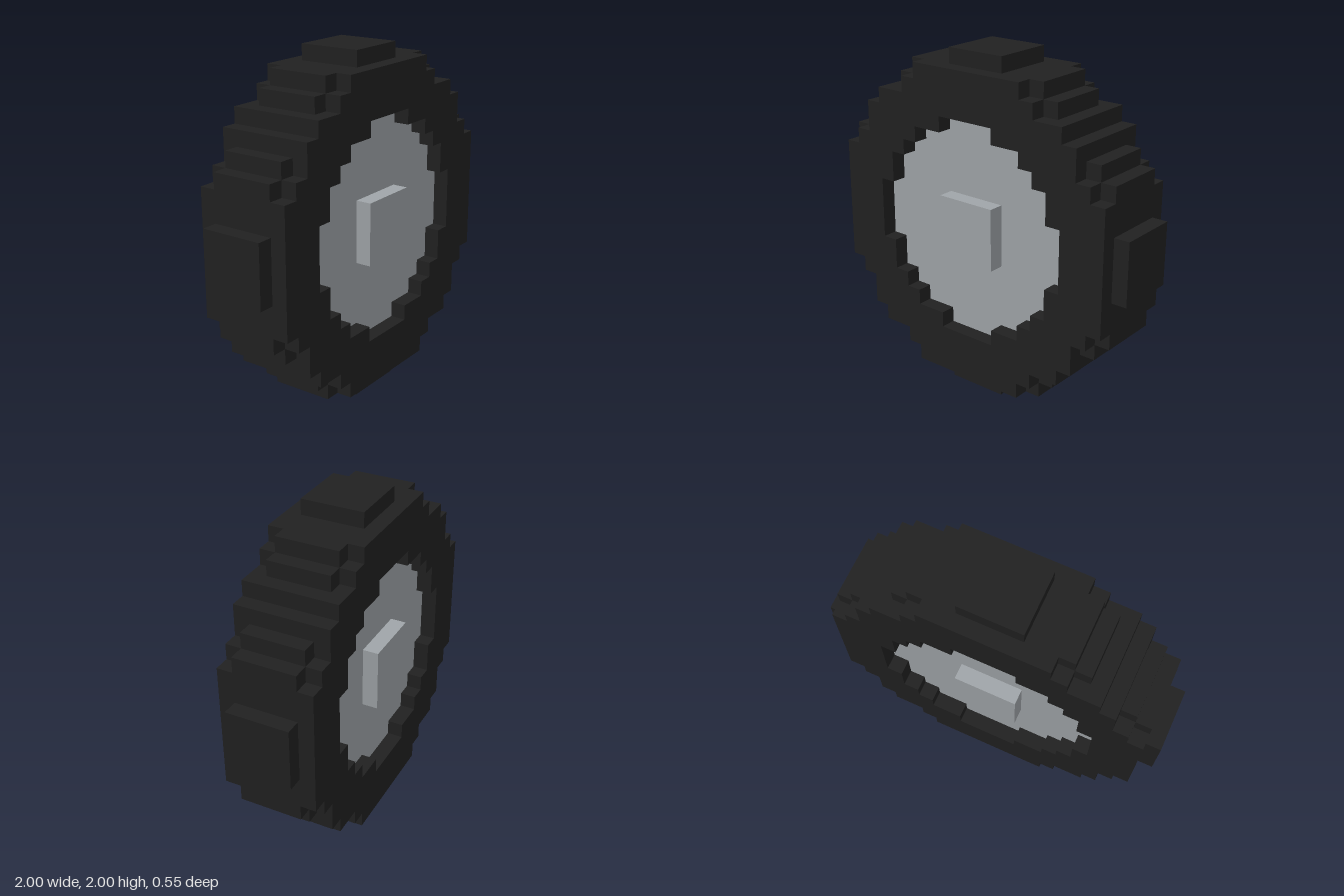
import * as THREE from 'three';

const U = 1 / 11; // one block of the stepped grid

const tyreMat = new THREE.MeshStandardMaterial({ color: 0x212121 });
tyreMat.name = 'black rubber';
const hubMat = new THREE.MeshStandardMaterial({ color: 0xa0a5a9 });
hubMat.name = 'light grey';

// Stepped corners of one quadrant, in blocks
const TYRE_STEPS = [[10, 4], [9, 4], [9, 5], [8, 5], [8, 7], [7, 7], [7, 8], [5, 8], [5, 9], [4, 9], [4, 10]];
const HUB_STEPS = [[7, 2], [6, 2], [6, 4], [5, 4], [5, 5], [4, 5], [4, 6], [2, 6], [2, 7]];

// Quarter turn about the axle
function turn([x, y], times) {
  for (let i = 0; i < times; i++) [x, y] = [-y, x];
  return [x, y];
}

// Closed outline from four turned quadrants
function outline(steps) {
  const points = [];
  for (let q = 0; q < 4; q++) {
    for (const p of steps) {
      const [x, y] = turn(p, q);
      points.push(new THREE.Vector2(x * U, y * U));
    }
  }
  return points;
}

function slab(name, shape, blocks, material) {
  const geometry = new THREE.ExtrudeGeometry(shape, { depth: blocks * U, bevelEnabled: false });
  geometry.translate(0, 0, -blocks * U / 2);
  const mesh = new THREE.Mesh(geometry, material);
  mesh.name = name;
  return mesh;
}

function block(name, [x, y], [w, h, d], material) {
  const mesh = new THREE.Mesh(new THREE.BoxGeometry(w * U, h * U, d * U), material);
  mesh.position.set(x * U, y * U, 0);
  mesh.name = name;
  return mesh;
}

export function createModel() {
  const wheel = new THREE.Group();
  wheel.name = 'wheel';
  wheel.position.y = 1;

  // Tyre ring
  const ring = new THREE.Shape(outline(TYRE_STEPS));
  ring.holes.push(new THREE.Path(outline(HUB_STEPS).reverse()));
  wheel.add(slab('tyre', ring, 6, tyreMat));

  // Recessed hub disc with an axle cap on both faces
  wheel.add(slab('hub', new THREE.Shape(outline(HUB_STEPS)), 4, hubMat));
  wheel.add(block('axle', [0, 0], [4, 4, 6], hubMat));

  // Tread: one large lug and four small ones per quarter
  const tread = new THREE.Group();
  tread.name = 'tread';
  for (let q = 0; q < 4; q++) {
    const size = q % 2 ? [4, 1, 4] : [1, 4, 4];
    tread.add(block('treadLug', turn([10.5, 0], q), size, tyreMat));
    for (const p of [[9.5, 4.5], [8.5, 5.5], [5.5, 8.5], [4.5, 9.5]]) {
      tread.add(block('smallLug', turn(p, q), [1, 1, 4], tyreMat));
    }
  }
  wheel.add(tread);

  const model = new THREE.Group();
  model.name = 'blockWheel';
  model.add(wheel);
  return model;
}
